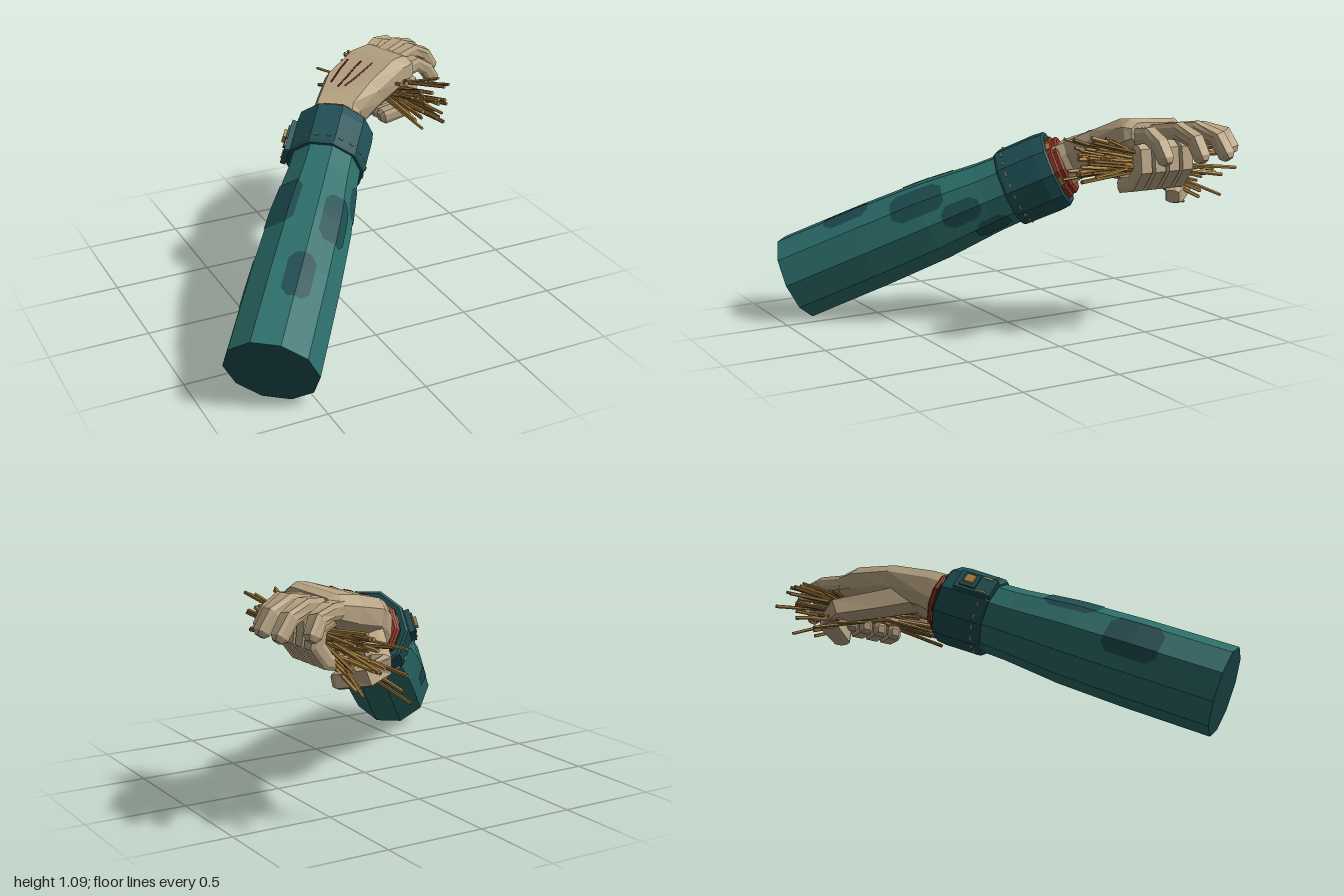
import * as THREE from 'three';

const V = (x, y, z) => new THREE.Vector3(x, y, z);
const material = (name, color) => new THREE.MeshStandardMaterial({ name, color });

// Faceted shading
function flat(g) {
  const f = g.index ? g.toNonIndexed() : g;
  f.computeVertexNormals();
  return f;
}

// Chamfered box outline, counted from the side towards the top
const outline = [[1, 0.45], [0.76, 1], [-0.76, 1], [-1, 0.45], [-1, -0.45], [-0.76, -1], [0.76, -1], [1, -0.45]];

// Skin cross-sections { c: centre, w: half width, h: half height, a: side direction }
function loft(sections) {
  const pos = [], idx = [], n = outline.length, m = sections.length;
  sections.forEach((s, i) => {
    const prev = sections[Math.max(i - 1, 0)].c, next = sections[Math.min(i + 1, m - 1)].c;
    const t = next.clone().sub(prev).normalize();
    const a = s.a.clone().addScaledVector(t, -s.a.dot(t)).normalize();
    const u = a.clone().cross(t);
    for (const [x, y] of outline) {
      pos.push(...s.c.clone().addScaledVector(a, x * s.w).addScaledVector(u, y * s.h).toArray());
    }
  });
  for (let i = 0; i < m - 1; i++) for (let j = 0; j < n; j++) {
    const k = (j + 1) % n, p = i * n, q = p + n;
    idx.push(p + j, q + j, p + k, q + j, q + k, p + k);
  }
  const e = (m - 1) * n;
  for (let j = 1; j < n - 1; j++) idx.push(0, j, j + 1, e, e + j + 1, e + j);
  const g = new THREE.BufferGeometry();
  g.setAttribute('position', new THREE.Float32BufferAttribute(pos, 3));
  g.setIndex(idx);
  return flat(g);
}

// Jointed finger through points, with a small blunt tip
function finger(points, radius, hint, taper) {
  const p = points.map(q => V(...q)), last = p.length - 1;
  const s = p.map((c, i) => ({ c, w: radius * (1 - taper * i), h: radius * (1 - taper * i), a: hint }));
  const dir = p[last].clone().sub(p[last - 1]).normalize();
  s.push({ c: p[last].clone().addScaledVector(dir, 0.022), w: radius * 0.45, h: radius * 0.45, a: hint });
  return loft(s);
}

// Thin stick between two points
function stick(a, b, r0, r1, sides) {
  const g = new THREE.CylinderGeometry(r1, r0, a.distanceTo(b), sides);
  g.applyQuaternion(new THREE.Quaternion().setFromUnitVectors(V(0, 1, 0), b.clone().sub(a).normalize()));
  const c = a.clone().lerp(b, 0.5);
  return flat(g.translate(c.x, c.y, c.z));
}

export function createModel() {
  const root = new THREE.Group();
  root.name = 'gloveArm';
  const teal = material('sleeve teal', 0x2c6f6b);
  const dark = material('patch teal', 0x1e4e51);
  const cuffTeal = material('cuff teal', 0x1e5055);
  const tan = material('glove tan', 0xb9a584);
  const red = material('lining red', 0x8e3625);
  const orange = material('lining orange', 0xae7a40);
  const gold = material('straw gold', 0xb38a45);
  const brown = material('straw brown', 0x8a6833);
  const maroon = material('stitch maroon', 0x601c1a);
  dark.side = THREE.DoubleSide;
  const add = (parent, name, geo, mat) => {
    const mesh = new THREE.Mesh(geo, mat);
    mesh.name = name;
    parent.add(mesh);
    return mesh;
  };

  // Arm frame: local y runs along the sleeve, local z is its upper side
  const arm = new THREE.Group();
  arm.name = 'arm';
  const d = V(0.56, 0.405, -0.72).normalize();
  const right = d.clone().cross(V(0, 1, 0)).normalize();
  arm.quaternion.setFromRotationMatrix(new THREE.Matrix4().makeBasis(right, d, right.clone().cross(d)));
  arm.position.set(-0.708, 0.2, 0.85);
  root.add(arm);
  const SIDES = 10, STEP = Math.PI * 2 / SIDES;
  const lathe = pts => flat(new THREE.LatheGeometry(pts.map(p => new THREE.Vector2(...p)), SIDES, STEP / 2));

  // Sleeve with its dark end
  const profile = [[0.225, 0], [0.222, 0.45], [0.212, 0.8], [0.185, 1.1], [0.18, 1.25]];
  add(arm, 'sleeve', lathe(profile), teal);
  add(arm, 'sleeveEnd', lathe([[0, 0], profile[0]]), dark);
  const radiusAt = t => {
    const i = Math.max(1, profile.findIndex(p => p[1] >= t));
    const [r0, t0] = profile[i - 1], [r1, t1] = profile[i];
    return r0 + (r1 - r0) * (t - t0) / (t1 - t0);
  };
  const onFacet = (r, phi, t) => {
    const off = phi - Math.round(phi / STEP) * STEP;
    const k = r * Math.cos(STEP / 2) / Math.cos(off);
    return [Math.sin(phi) * k, t, Math.cos(phi) * k];
  };

  // Sewn patches: columns of 9 degrees, with shortened outer columns for cut corners
  const patches = [[-63, -9, 0.69, 0.97], [-108, -54, 0.32, 0.6], [0, 36, 0.27, 0.52],
    [27, 72, 0.64, 0.92], [72, 108, 0.88, 1.08], [117, 153, 1.0, 1.18]];
  for (const [a0, a1, t0, t1] of patches) {
    const cols = Math.round((a1 - a0) / 9), rows = 6, pos = [], idx = [];
    for (let j = 0; j <= cols; j++) for (let i = 0; i <= rows; i++) {
      const cut = j === 0 || j === cols ? 0.04 : 0;
      const t = t0 + cut + (t1 - t0 - 2 * cut) * i / rows;
      pos.push(...onFacet(radiusAt(t) + 0.004, THREE.MathUtils.degToRad(a0 + 9 * j), t));
      if (j < cols && i < rows) {
        const p = j * (rows + 1) + i, q = p + rows + 1;
        idx.push(p, q, p + 1, q, q + 1, p + 1);
      }
    }
    const g = new THREE.BufferGeometry();
    g.setAttribute('position', new THREE.Float32BufferAttribute(pos, 3));
    g.setIndex(idx);
    add(arm, 'sleevePatch', flat(g), dark);
  }

  // Cuff and lining
  add(arm, 'cuff', lathe([[0.17, 1.215], [0.194, 1.215], [0.203, 1.23], [0.205, 1.42], [0.2, 1.475],
    [0.188, 1.485], [0.165, 1.48], [0.15, 1.42]]), cuffTeal);
  add(arm, 'lining', lathe([[0.15, 1.42], [0.162, 1.47], [0.162, 1.5], [0.15, 1.508], [0.152, 1.525],
    [0.14, 1.535], [0.1, 1.535]]), red);
  const plate = (name, phi, t, r, size, mat) => {
    const m = add(arm, name, new THREE.BoxGeometry(...size), mat);
    m.position.set(...onFacet(r, phi, t));
    m.rotation.y = Math.round(phi / STEP) * STEP;
  };
  for (const k of [-4, -2, 0, 1, 3]) plate('liningPatch', k * STEP, 1.488, 0.165, [0.045, 0.03, 0.008], orange);
  for (let k = 0; k < 20; k++) plate('cuffStitch', (k + 0.5) * STEP / 2, 1.26, 0.207, [0.022, 0.008, 0.008], tan);

  // Buttoned tab
  plate('cuffTab', -2 * STEP, 1.31, 0.218, [0.115, 0.2, 0.028], cuffTeal);
  plate('buttonPlate', -2 * STEP, 1.34, 0.236, [0.085, 0.085, 0.012], dark);
  plate('button', -2 * STEP, 1.34, 0.248, [0.048, 0.048, 0.018], gold);
  for (const o of [-0.2, 0.2]) plate('tabStitch', -2 * STEP + o, 1.26, 0.234, [0.009, 0.05, 0.008], tan);

  // Palm
  const palm = add(root, 'palm', loft([
    { c: V(0.11, 0.79, -0.2), w: 0.13, h: 0.115, a: V(0.78, 0, 0.62) },
    { c: V(0.18, 0.855, -0.29), w: 0.122, h: 0.1, a: V(0.76, 0.02, 0.64) },
    { c: V(0.31, 0.925, -0.385), w: 0.17, h: 0.088, a: V(0.55, 0.05, 0.83) },
    { c: V(0.49, 0.99, -0.465), w: 0.2, h: 0.085, a: V(0.29, 0.08, 0.95) },
    { c: V(0.565, 1.01, -0.48), w: 0.197, h: 0.072, a: V(0.24, 0.08, 0.97) },
    { c: V(0.6, 1.015, -0.485), w: 0.175, h: 0.05, a: V(0.24, 0.08, 0.97) },
  ]), tan);

  // Reaching fingers
  const side = V(0, 0, 1);
  [[[0.5, 1.0, -0.6], [0.63, 1.02, -0.72], [0.72, 1.0, -0.78], [0.755, 0.935, -0.8]],
    [[0.54, 1.01, -0.54], [0.7, 1.035, -0.63], [0.8, 1.0, -0.68], [0.855, 0.925, -0.695]],
    [[0.55, 1.01, -0.45], [0.72, 1.04, -0.51], [0.81, 1.0, -0.54], [0.86, 0.925, -0.545]],
    [[0.56, 1.0, -0.35], [0.67, 1.02, -0.38], [0.74, 0.98, -0.39], [0.785, 0.915, -0.395]],
  ].forEach(p => add(root, 'reachingFinger', finger(p, 0.041, side, 0.07), tan));

  // Gripping fingers
  for (const z of [-0.37, -0.45, -0.53, -0.61]) {
    add(root, 'grippingFinger', finger([[0.55, 0.98, z], [0.625, 0.93, z], [0.635, 0.85, z],
      [0.58, 0.775, z], [0.48, 0.755, z]], 0.042, side, 0.035), tan);
  }

  // Thumb
  add(root, 'thumb', finger([[0.21, 0.85, -0.34], [0.3, 0.8, -0.54], [0.38, 0.755, -0.73],
    [0.44, 0.72, -0.745], [0.53, 0.69, -0.635]], 0.07, V(0, 1, 0), 0.1), tan);

  // Stitch lines laid on the back of the hand
  palm.updateMatrixWorld(true);
  const ray = new THREE.Raycaster();
  const onPalm = (x, z) => {
    ray.set(V(x, 2, z), V(0, -1, 0));
    const hit = ray.intersectObject(palm)[0];
    return hit ? hit.point : V(x, 1.03, z);
  };
  for (const [x0, z0, x1, z1] of [[0.19, -0.4, 0.35, -0.53], [0.2, -0.34, 0.39, -0.45], [0.23, -0.32, 0.42, -0.38]]) {
    for (let i = 0; i < 4; i++) {
      const at = k => onPalm(x0 + (x1 - x0) * k / 4, z0 + (z1 - z0) * k / 4);
      add(root, 'handStitch', stick(at(i), at(i + 1), 0.006, 0.006, 4), maroon);
    }
  }

  // Straw bundle fanning out of both sides of the grip
  let seed = 7;
  const rnd = (a, b) => {
    seed = (seed * 16807) % 2147483647;
    return a + (b - a) * seed / 2147483647;
  };
  const straw = new THREE.Group();
  straw.name = 'strawBundle';
  root.add(straw);
  for (let i = 0; i < 72; i++) {
    const back = i % 2;
    const from = V(rnd(0.5, 0.58), rnd(0.82, 0.89), back ? -0.42 : -0.55);
    const to = back ? V(rnd(0.32, 0.6), rnd(0.66, 0.95), rnd(-0.72, -0.95))
      : V(rnd(0.48, 0.69), rnd(0.8, 1.02), rnd(-0.22, 0));
    if (i === 1) to.set(0.55, 0.8, -1);
    if (i === 3) to.set(0.3, 0.6, -0.87);
    add(straw, 'straw', stick(from, to, 0.009, rnd(0.007, 0.011), 5), i % 3 ? gold : brown);
  }
  return root;
}
